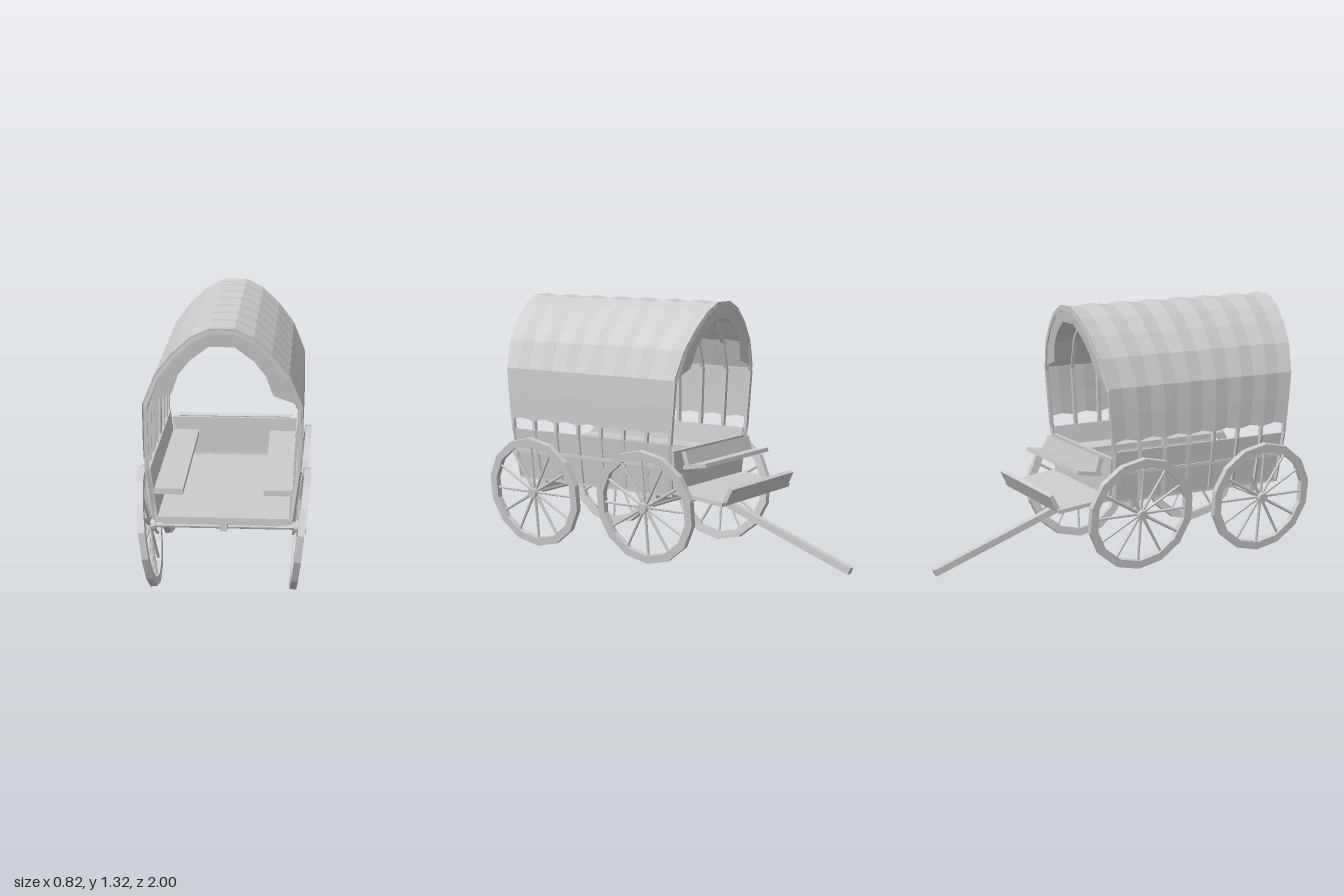
import * as THREE from 'three';

const mat = new THREE.MeshStandardMaterial({ color: 0xcccccc, flatShading: true });
const clothMat = new THREE.MeshStandardMaterial({ color: 0xcccccc, flatShading: true, side: THREE.DoubleSide });
const V = (x, y, z) => new THREE.Vector3(x, y, z);

function add(parent, name, geo, material = mat) {
  const m = new THREE.Mesh(geo, material);
  m.name = name;
  parent.add(m);
  return m;
}

function box(parent, name, x0, x1, y0, y1, z0, z1) {
  const g = new THREE.BoxGeometry(x1 - x0, y1 - y0, z1 - z0);
  g.translate((x0 + x1) / 2, (y0 + y1) / 2, (z0 + z1) / 2);
  return add(parent, name, g);
}

// Straight bar of section w x h running from a to b
function beam(parent, name, a, b, w, h) {
  const m = add(parent, name, new THREE.BoxGeometry(w, h, a.distanceTo(b)));
  m.position.copy(a).lerp(b, 0.5);
  m.lookAt(b);
  return m;
}

// Outline in x-y pushed along z
function prism(parent, name, pts, z0, z1) {
  const s = new THREE.Shape(pts.map(p => new THREE.Vector2(...p)));
  const g = new THREE.ExtrudeGeometry(s, { depth: z1 - z0, bevelEnabled: false });
  g.translate(0, 0, z0);
  return add(parent, name, g);
}

// Bows fan out lengthwise with height: t runs -1 (driver end) to 1 (open end)
const MID = 0.345, BAYS = 7;
function bowZ(t, y) {
  const k = y < 0.98 ? 0.49 + (y - 0.4) * 0.086 : 0.54 + (y - 0.98) * 0.153;
  return MID + t * k;
}

const half = [[0.37, 0.69], [0.372, 0.83], [0.37, 0.965], [0.31, 1.113], [0.23, 1.216], [0.145, 1.294], [0.057, 1.337]];
const mirrored = pts => [...pts, ...pts.slice().reverse().map(([x, y]) => [-x, y])];

// Surface lofted through rows of points
function loft(rows) {
  const pos = [], idx = [], n = rows[0].length;
  rows.forEach(r => r.forEach(p => pos.push(p.x, p.y, p.z)));
  for (let i = 0; i < rows.length - 1; i++)
    for (let j = 0; j < n - 1; j++) {
      const a = i * n + j, b = a + n;
      idx.push(a, a + 1, b, a + 1, b + 1, b);
    }
  const g = new THREE.BufferGeometry();
  g.setAttribute('position', new THREE.Float32BufferAttribute(pos, 3));
  g.setIndex(idx);
  g.computeVertexNormals();
  return g;
}

function cover(parent) {
  // Canvas sags a little between the bows
  const rows = [], steps = BAYS * 2;
  for (let i = 0; i <= steps; i++) {
    const t = -1 + 2 * i / steps, sag = i % 2;
    rows.push(mirrored(half).map(([x, y]) => {
      const f = 1 - 0.016 * sag;
      const yy = y > 0.9 ? y - sag * 0.012 * (y - 0.9) / 0.44 : y + (y < 0.75 ? 0.014 * sag : 0);
      return V(x * f, yy, bowZ(t, y));
    }));
  }
  add(parent, 'canvasCover', loft(rows), clothMat);

  // Gathered flap around each end opening
  const outer = mirrored(half.slice(2));
  const inner = mirrored([[0.235, 1.014], [0.2, 1.113], [0.145, 1.184], [0.1, 1.218], [0.06, 1.25]]);
  for (const t of [-1, 1]) {
    const edge = pts => pts.map(([x, y]) => V(x, y, bowZ(t, y)));
    add(parent, 'endFlap', loft([edge(outer), edge(inner)]), clothMat);
  }
}

function bows(parent) {
  const path = mirrored([[0.325, 0.385], [0.357, 0.64], [0.356, 0.95], [0.296, 1.1], [0.22, 1.2], [0.138, 1.279], [0.055, 1.32]]);
  for (let i = 0; i <= BAYS; i++) {
    const t = -1 + 2 * i / BAYS;
    const bow = new THREE.Group();
    bow.name = 'bow';
    const p = path.map(([x, y]) => V(x, y, bowZ(t * 0.99, y)));
    for (let j = 0; j < p.length - 1; j++) beam(bow, 'bowSegment', p[j], p[j + 1], 0.018, 0.018);
    parent.add(bow);
  }
}

function wheel(parent, side, z) {
  const R = 0.297, r = 0.255, W = 0.032, N = 14;
  const ring = rad => Array.from({ length: N }, (_, i) => {
    const a = Math.PI / 2 + i * 2 * Math.PI / N;
    return new THREE.Vector2(rad * Math.cos(a), rad * Math.sin(a));
  });
  const g = new THREE.Group();
  g.name = 'wheel';
  const s = new THREE.Shape(ring(R));
  s.holes.push(new THREE.Path(ring(r)));
  const rim = new THREE.ExtrudeGeometry(s, { depth: W, bevelEnabled: false });
  rim.translate(0, 0, -W / 2).rotateY(Math.PI / 2);
  add(g, 'rim', rim);
  add(g, 'hub', new THREE.CylinderGeometry(0.026, 0.026, 0.06, 10).rotateZ(Math.PI / 2));
  for (let i = 0; i < 12; i++) {
    const spoke = new THREE.CylinderGeometry(0.007, 0.009, 0.245, 6);
    spoke.translate(0, 0.137, 0).rotateX(i * Math.PI / 6);
    add(g, 'spoke', spoke);
  }
  // Dished outward at the top
  g.position.set(side * 0.363, 0.31, z);
  g.rotation.z = -side * 0.113;
  parent.add(g);
}

export function createModel() {
  const wagon = new THREE.Group();
  wagon.name = 'coveredWagon';

  // Bed
  box(wagon, 'floor', -0.325, 0.325, 0.37, 0.4, -0.15, 0.84);
  for (const s of [-1, 1]) {
    prism(wagon, 'sideWall', [[s * 0.308, 0.375], [s * 0.324, 0.375], [s * 0.358, 0.64], [s * 0.342, 0.64]], -0.15, 0.84);
    beam(wagon, 'sideRail', V(s * 0.345, 0.525, -0.15), V(s * 0.345, 0.525, 0.84), 0.016, 0.016);
    box(wagon, 'bench', s > 0 ? 0.19 : -0.327, s > 0 ? 0.327 : -0.19, 0.51, 0.538, -0.14, 0.83);
  }
  prism(wagon, 'endPanel', [[-0.31, 0.39], [0.31, 0.39], [0.332, 0.605], [-0.332, 0.605]], -0.165, -0.145);

  // Driver's seat and foot rest
  beam(wagon, 'seatBack', V(0, 0.52, -0.228), V(0, 0.605, -0.202), 0.6, 0.026);
  beam(wagon, 'seat', V(0, 0.523, -0.2), V(0, 0.545, -0.335), 0.6, 0.02);
  beam(wagon, 'footBoard', V(0, 0.4, -0.14), V(0, 0.365, -0.45), 0.655, 0.02);
  beam(wagon, 'toeBoard', V(0, 0.362, -0.44), V(0, 0.445, -0.482), 0.6, 0.022);

  // Running gear
  box(wagon, 'centreBeam', -0.017, 0.017, 0.325, 0.37, -0.13, 0.82);
  beam(wagon, 'tongue', V(0, 0.36, -0.11), V(0, 0.042, -0.99), 0.035, 0.035);
  for (const z of [-0.01, 0.71]) {
    box(wagon, 'bolster', -0.3, 0.3, 0.325, 0.37, z - 0.025, z + 0.025);
    const axle = add(wagon, 'axle', new THREE.CylinderGeometry(0.014, 0.014, 0.73, 8).rotateZ(Math.PI / 2));
    axle.position.set(0, 0.312, z);
    for (const s of [-1, 1]) wheel(wagon, s, z);
  }

  bows(wagon);
  cover(wagon);
  return wagon;
}
